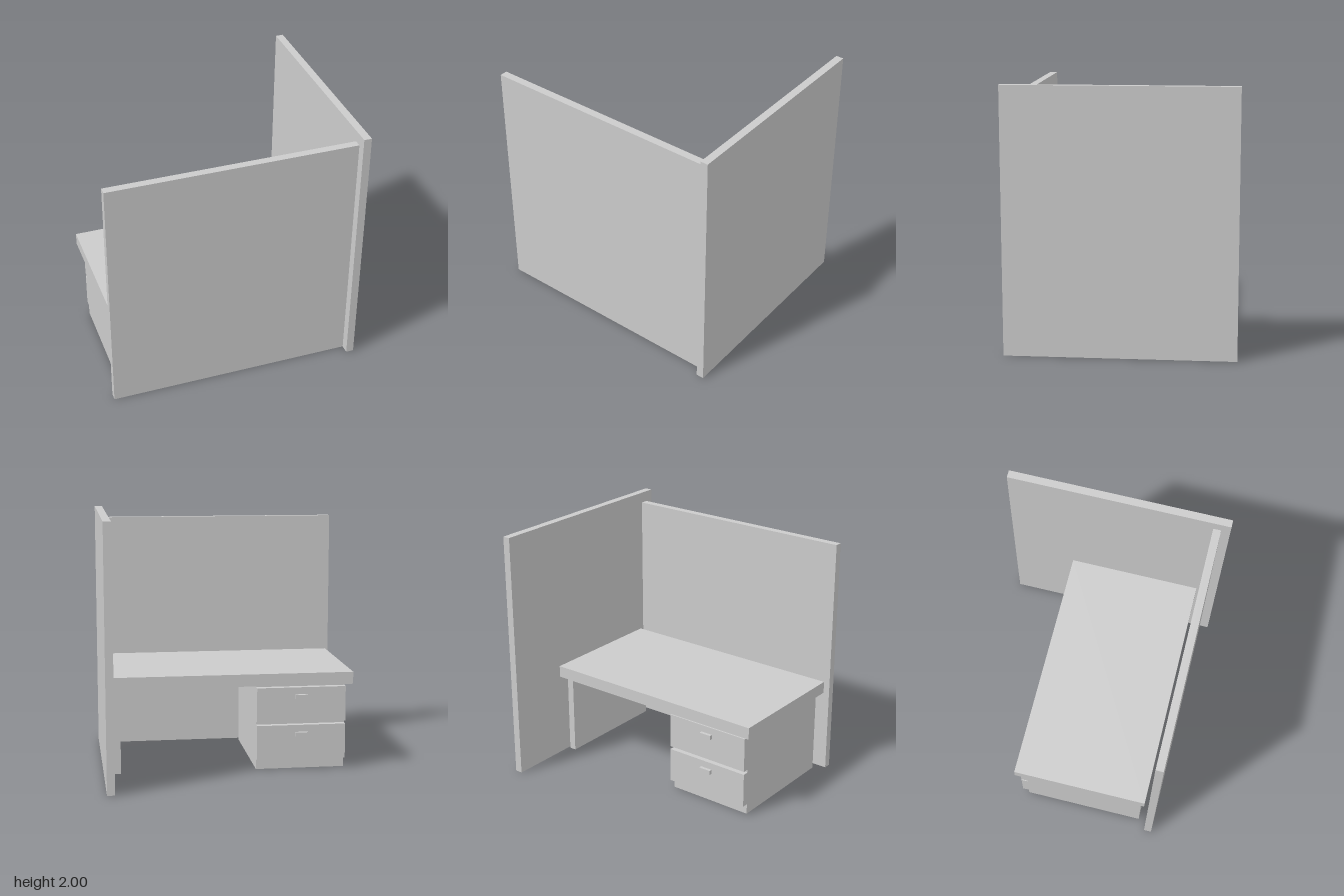
import * as THREE from 'three';

const material = new THREE.MeshStandardMaterial({ color: 0xcccccc, flatShading: true });

export function createModel() {
  const model = new THREE.Group();
  model.name = 'cubicleDesk';

  // Box given by its min and max on each axis
  const box = (name, [x0, x1], [y0, y1], [z0, z1], parent = model) => {
    const mesh = new THREE.Mesh(new THREE.BoxGeometry(x1 - x0, y1 - y0, z1 - z0), material);
    mesh.position.set((x0 + x1) / 2, (y0 + y1) / 2, (z0 + z1) / 2);
    mesh.name = name;
    parent.add(mesh);
    return mesh;
  };

  // Partition walls
  box('sidePartition', [0.925, 0.985], [0, 2], [-0.86, 0.86]);
  box('frontPartition', [-0.99, 0.925], [0, 1.915], [0.73, 0.79]);

  // Worktop and its supporting panel leg
  box('worktop', [-0.96, 0.925], [0.68, 0.775], [-0.36, 0.695]);
  box('panelLeg', [0.852, 0.908], [0, 0.68], [-0.285, 0.665]);

  // Drawer pedestal: carcass, two drawer fronts and their handles
  const pedestal = new THREE.Group();
  pedestal.name = 'drawerPedestal';
  model.add(pedestal);
  const width = [-0.908, -0.207];
  const centre = (width[0] + width[1]) / 2;
  box('carcass', width, [0, 0.68], [-0.285, 0.665], pedestal);
  for (const [label, y] of [['lower', 0.083], ['upper', 0.383]]) {
    box(label + 'DrawerFront', width, [y, y + 0.275], [-0.335, -0.285], pedestal);
    box(label + 'Handle', [centre - 0.05, centre + 0.05], [y + 0.185, y + 0.22], [-0.36, -0.335], pedestal);
  }
  return model;
}
